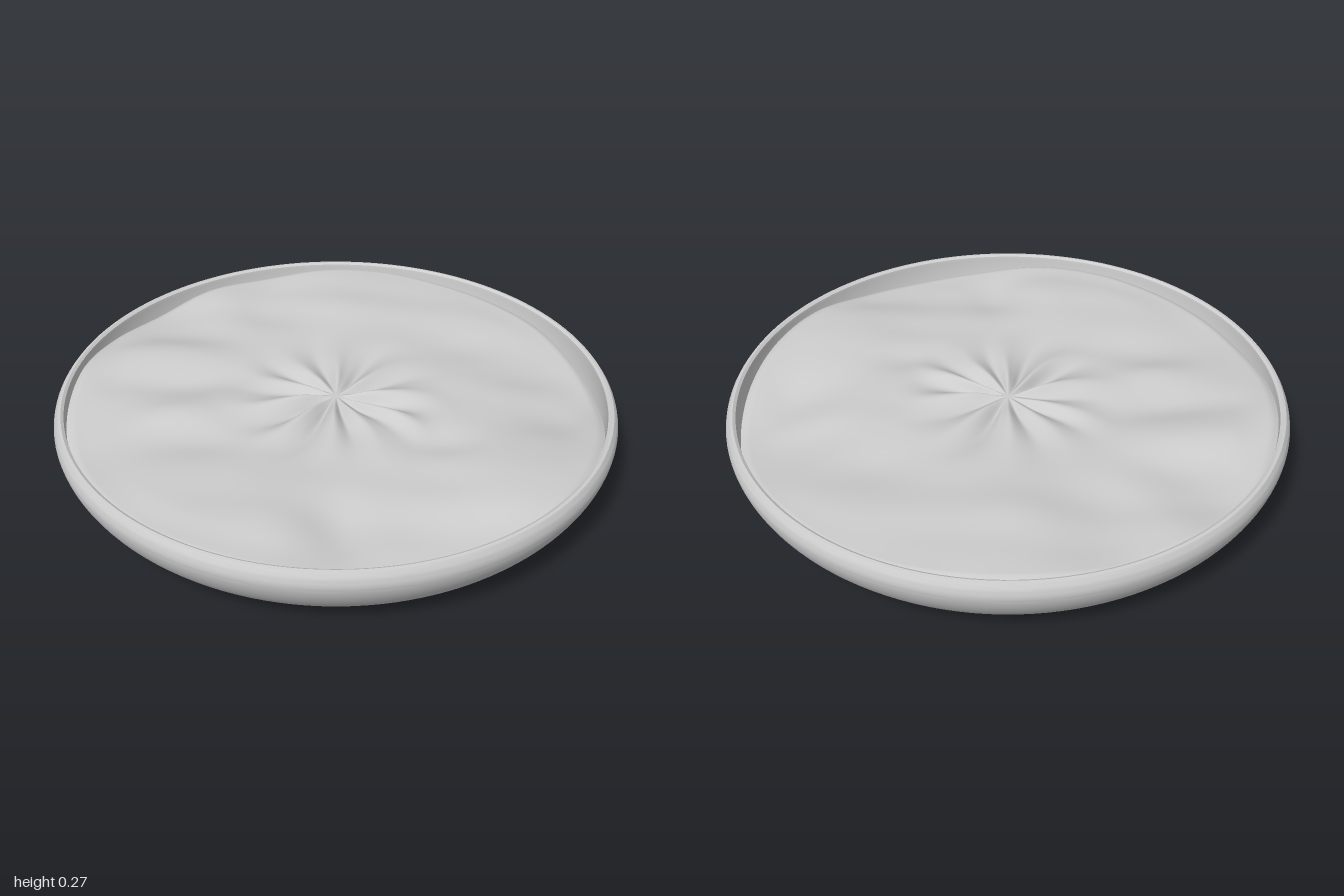
import * as THREE from 'three';
import { toCreasedNormals } from 'three/addons/utils/BufferGeometryUtils.js';

const TAU = Math.PI * 2;
const grey = () => new THREE.MeshStandardMaterial({ color: 0xcccccc, roughness: 0.8, side: THREE.DoubleSide });
const smooth = (a, b, x) => THREE.MathUtils.smoothstep(x, a, b);

// Height of the filling where it meets the wall, every 15 degrees from +x towards +z
const edge = [0.17, 0.205, 0.235, 0.24, 0.205, 0.19, 0.2, 0.23, 0.235, 0.225, 0.215, 0.205,
  0.225, 0.245, 0.225, 0.205, 0.235, 0.23, 0.25, 0.25, 0.235, 0.225, 0.215, 0.185];

// Pinched folds around the middle: angle in degrees, height, width in degrees
const folds = [[5, 0.022, 9], [24, -0.02, 9], [37, 0.014, 6], [50, -0.016, 7], [68, 0.012, 7],
  [84, -0.012, 6], [98, 0.014, 7], [117, -0.02, 7], [136, 0.018, 7], [151, -0.024, 8],
  [172, 0.022, 8], [192, -0.01, 7], [210, 0.012, 7], [225, -0.014, 7], [242, 0.012, 8],
  [260, -0.012, 7], [278, 0.016, 8], [303, -0.02, 8], [322, 0.014, 8], [342, -0.014, 8]];

// Broad soft lumps: x, z, height, x radius, z radius
const lumps = [[-0.62, -0.34, 0.022, 0.22, 0.1], [-0.6, -0.13, -0.028, 0.25, 0.09],
  [0.62, -0.03, 0.018, 0.2, 0.1], [0.8, 0.17, -0.015, 0.14, 0.1], [0.2, 0.14, 0.012, 0.12, 0.07],
  [0.33, 0.3, -0.018, 0.13, 0.08], [-0.25, 0.65, 0.015, 0.14, 0.15], [-0.03, 0.73, -0.018, 0.1, 0.13],
  [-0.55, 0.08, 0.016, 0.15, 0.08], [-0.45, 0.25, -0.014, 0.18, 0.09], [0.5, -0.32, -0.012, 0.16, 0.1],
  [-0.28, -0.6, -0.014, 0.12, 0.18], [0.05, -0.6, 0.014, 0.15, 0.14], [0.4, 0.6, 0.014, 0.2, 0.12],
  [0.5, -0.6, 0.01, 0.2, 0.14], [-0.6, 0.5, 0.01, 0.18, 0.14]];

function edgeHeight(angle) {
  const n = edge.length, t = (angle / TAU) * n, i = Math.floor(t), f = t - i;
  const p = k => edge[(i + k + n) % n];
  const [a, b, c, d] = [p(-1), p(0), p(1), p(2)];
  return b + 0.5 * f * (c - a + f * (2 * a - 5 * b + 4 * c - d + f * (3 * (b - c) + d - a)));
}

function fillingHeight(r, angle) {
  const x = r * Math.cos(angle), z = r * Math.sin(angle);
  let y = THREE.MathUtils.lerp(0.235, edgeHeight(angle), smooth(0.3, 0.95, r));
  const inner = smooth(0, 0.14, r) * (1 - smooth(0.16, 0.46, r));
  const bend = 0.25 * Math.sin(r * 9);
  for (const [deg, h, w] of folds) {
    let d = angle + bend * r - THREE.MathUtils.degToRad(deg);
    d = Math.atan2(Math.sin(d), Math.cos(d)) / THREE.MathUtils.degToRad(w);
    y += h * inner * Math.exp(-d * d);
  }
  const keep = 1 - smooth(0.8, 0.95, r);
  for (const [cx, cz, h, rx, rz] of lumps)
    y += h * keep * Math.exp(-(((x - cx) / rx) ** 2) - ((z - cz) / rz) ** 2);
  // fine unevenness
  y += 0.004 * keep * smooth(0.1, 0.4, r) * Math.sin(9 * x + 3 * Math.sin(5 * z)) * Math.cos(11 * z + 2 * x);
  return y - 0.012 * smooth(0.935, 0.96, r);
}

// Polar grid lifted by fillingHeight
function fillingGeometry(radius, rings, segs) {
  const pos = [], index = [];
  pos.push(0, fillingHeight(0, 0), 0);
  for (let i = 1; i <= rings; i++)
    for (let j = 0; j < segs; j++) {
      const r = radius * i / rings, a = TAU * j / segs;
      pos.push(r * Math.cos(a), fillingHeight(r, a), r * Math.sin(a));
    }
  const at = (i, j) => 1 + (i - 1) * segs + (j % segs);
  for (let j = 0; j < segs; j++) {
    index.push(0, at(1, j + 1), at(1, j));
    for (let i = 1; i < rings; i++) {
      index.push(at(i, j), at(i, j + 1), at(i + 1, j));
      index.push(at(i, j + 1), at(i + 1, j + 1), at(i + 1, j));
    }
  }
  const g = new THREE.BufferGeometry();
  g.setAttribute('position', new THREE.Float32BufferAttribute(pos, 3));
  g.setIndex(index);
  g.computeVertexNormals();
  return g;
}

function dishGeometry() {
  const v = (x, y) => new THREE.Vector2(x, y);
  // outer side from the base up to the rim
  const outer = new THREE.SplineCurve([v(0.5, 0.004), v(0.7, 0.013), v(0.82, 0.028), v(0.9, 0.058),
    v(0.95, 0.105), v(0.985, 0.16), v(1, 0.21), v(0.995, 0.245), v(0.982, 0.266)]).getPoints(40);
  // rim lip and inner wall down to the floor
  const inner = [v(0.972, 0.268), v(0.962, 0.262), v(0.96, 0.25), v(0.958, 0.16), v(0.93, 0.11),
    v(0.88, 0.075), v(0.8, 0.05), v(0.5, 0.03), v(0, 0.03)];
  return toCreasedNormals(new THREE.LatheGeometry([v(0, 0), ...outer, ...inner], 128), 0.7);
}

export function createModel() {
  const group = new THREE.Group();
  const add = (name, geometry) => {
    const mesh = new THREE.Mesh(geometry, grey());
    mesh.name = name;
    group.add(mesh);
  };
  add('dish', dishGeometry());
  add('filling', fillingGeometry(0.959, 80, 240));
  return group;
}
